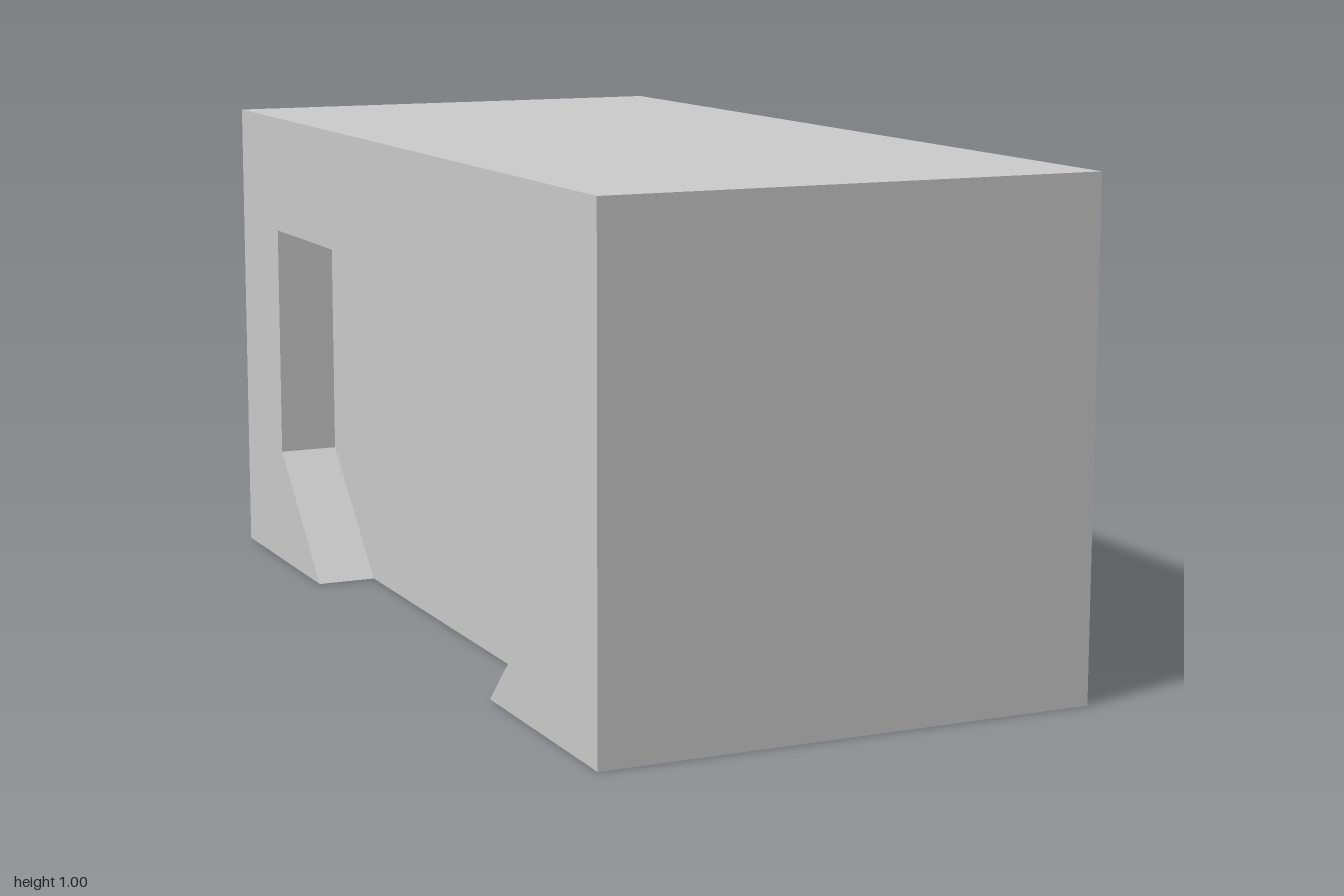
import * as THREE from 'three';

const W = 0.5, H = 1, L = 1;            // half width, height, half length
const RECESS = 0.375, SLOT = 0.125;     // x of the recess walls and of the slot walls

// Outline of every pocket as [z, y], open at the bottom
const pocket = [[-0.5, 0], [-0.75, 0.25], [-0.75, 0.75], [0.75, 0.75], [0.75, 0.25], [0.5, 0]];

const shapeOf = (pts) => new THREE.Shape(pts.map(([a, b]) => new THREE.Vector2(a, b)));

// Flat upright panel at x, facing +x or -x
function sidePanel(pts, x, facing) {
  return new THREE.ShapeGeometry(shapeOf(pts)).rotateY(facing * Math.PI / 2).translate(x, 0, 0);
}

// Faces lining the pocket between x0 and x1, turned inwards
function pocketRim(x0, x1) {
  const pos = [];
  for (let i = 0; i < pocket.length - 1; i++) {
    const [az, ay] = pocket[i], [bz, by] = pocket[i + 1];
    pos.push(x0, ay, az, x1, ay, az, x1, by, bz);
    pos.push(x0, ay, az, x1, by, bz, x0, by, bz);
  }
  const g = new THREE.BufferGeometry();
  g.setAttribute('position', new THREE.Float32BufferAttribute(pos, 3));
  g.computeVertexNormals();
  return g;
}

export function createModel() {
  const group = new THREE.Group();
  const material = new THREE.MeshStandardMaterial({ color: 0xcccccc, flatShading: true });
  const add = (name, geometry) => {
    const mesh = new THREE.Mesh(geometry, material);
    mesh.name = name;
    group.add(mesh);
  };

  // Top and the two plain ends
  add('top', new THREE.PlaneGeometry(2 * W, 2 * L).rotateX(-Math.PI / 2).translate(0, H, 0));
  add('frontEnd', new THREE.PlaneGeometry(2 * W, H).translate(0, H / 2, L));
  add('backEnd', new THREE.PlaneGeometry(2 * W, H).rotateY(Math.PI).translate(0, H / 2, -L));

  // Underside, notched by the side recesses and pierced by the middle slot
  const base = shapeOf([
    [-W, -L], [W, -L], [W, -0.5], [RECESS, -0.5], [RECESS, 0.5], [W, 0.5],
    [W, L], [-W, L], [-W, 0.5], [-RECESS, 0.5], [-RECESS, -0.5], [-W, -0.5],
  ]);
  base.holes.push(shapeOf([[-SLOT, -0.5], [-SLOT, 0.5], [SLOT, 0.5], [SLOT, -0.5]]));
  add('underside', new THREE.ShapeGeometry(base).rotateX(Math.PI / 2));

  // Side frames, recess walls and slot walls, mirrored
  const frame = [[-L, 0], ...pocket, [L, 0], [L, H], [-L, H]];
  for (const s of [1, -1]) {
    const side = s > 0 ? 'left' : 'right';
    add(side + 'SideFrame', sidePanel(frame, s * W, s));
    add(side + 'RecessWall', sidePanel(pocket, s * RECESS, s));
    add(side + 'RecessRim', s > 0 ? pocketRim(RECESS, W) : pocketRim(-W, -RECESS));
    add(side + 'SlotWall', sidePanel(pocket, s * SLOT, -s));
  }
  add('slotRim', pocketRim(-SLOT, SLOT));

  return group;
}
